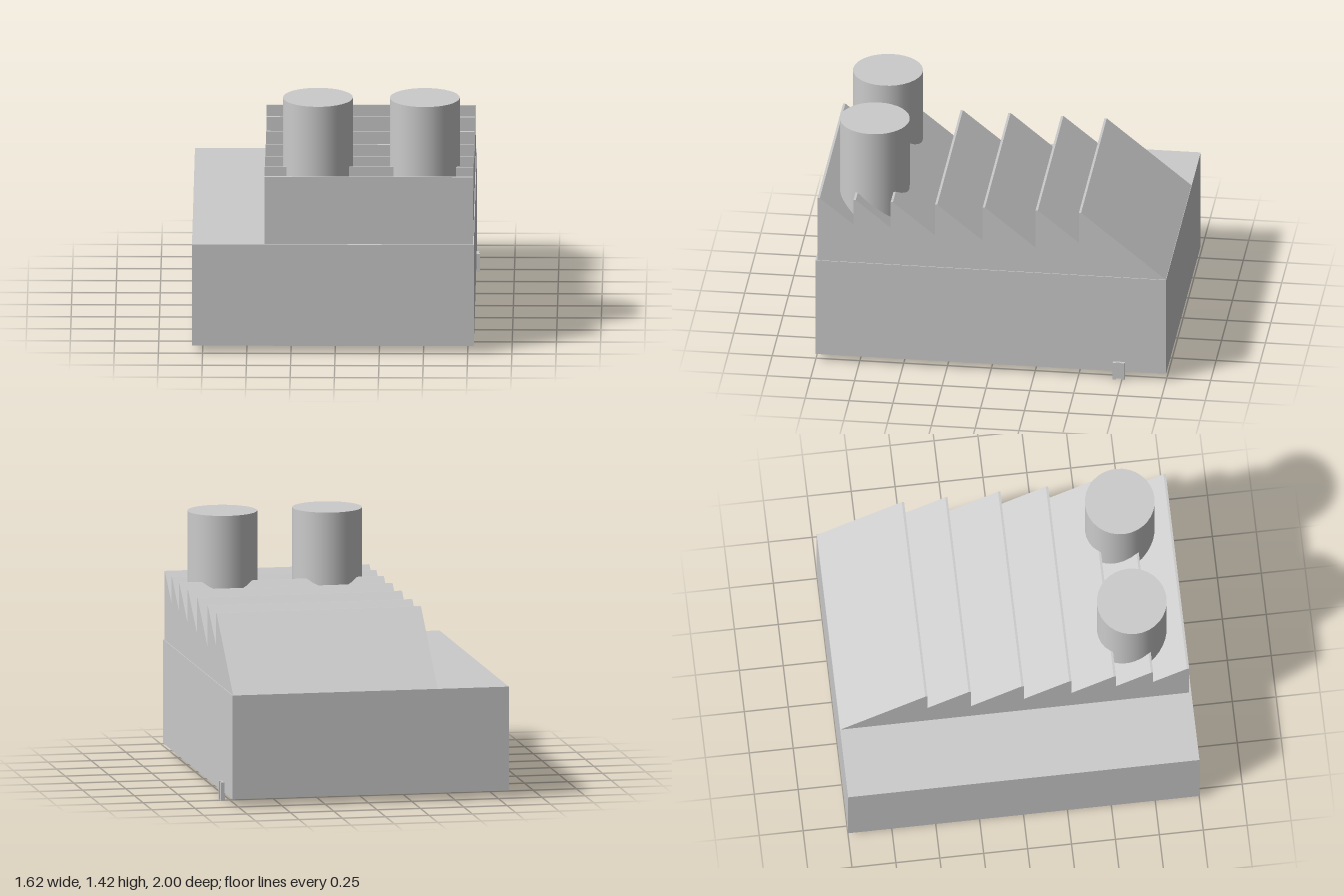
import * as THREE from 'three';

export function createModel() {
  const model = new THREE.Group();
  const material = new THREE.MeshStandardMaterial({ color: 0xcccccc });
  const add = (name, geometry, x, y, z) => {
    const mesh = new THREE.Mesh(geometry, material);
    mesh.name = name;
    mesh.position.set(x, y, z);
    model.add(mesh);
    return mesh;
  };

  // Main hall
  add('factoryHall', new THREE.BoxGeometry(1.595, 0.595, 2), -0.0125, 0.3425, 0);

  // Sawtooth roof: each tooth is [ridge z, foot z, foot height], front to back
  const ridge = 1.035, ridgeWidth = 0.013;
  const teeth = [
    [0.988, 0.783, 0.88], [0.783, 0.571, 0.873], [0.571, 0.318, 0.84], [0.318, 0.046, 0.825],
    [0.046, -0.255, 0.798], [-0.255, -0.502, 0.845], [-0.502, -0.998, 0.64],
  ];
  const profile = new THREE.Shape();
  profile.moveTo(0.988, 0.64);
  for (const [z, footZ, footY] of teeth) {
    profile.lineTo(z, ridge);
    profile.lineTo(z - ridgeWidth, ridge);
    profile.lineTo(footZ, footY);
  }
  profile.closePath();
  const roof = new THREE.ExtrudeGeometry(profile, { depth: 1.18, bevelEnabled: false });
  roof.rotateY(-Math.PI / 2);
  add('sawtoothRoof', roof, 0.78, 0, 0);

  // Chimneys
  for (const x of [-0.1, 0.505]) {
    add('chimney', new THREE.CylinderGeometry(0.198, 0.198, 0.78, 32), x, 1.03, 0.695);
  }

  // Small side door: recessed panel between two jambs
  add('doorPanel', new THREE.BoxGeometry(0.018, 0.1, 0.066), 0.789, 0.055, -0.732);
  for (const side of [-1, 1]) {
    add('doorJamb', new THREE.BoxGeometry(0.025, 0.105, 0.018), 0.7925, 0.0525, -0.732 + side * 0.025);
  }

  return model;
}
